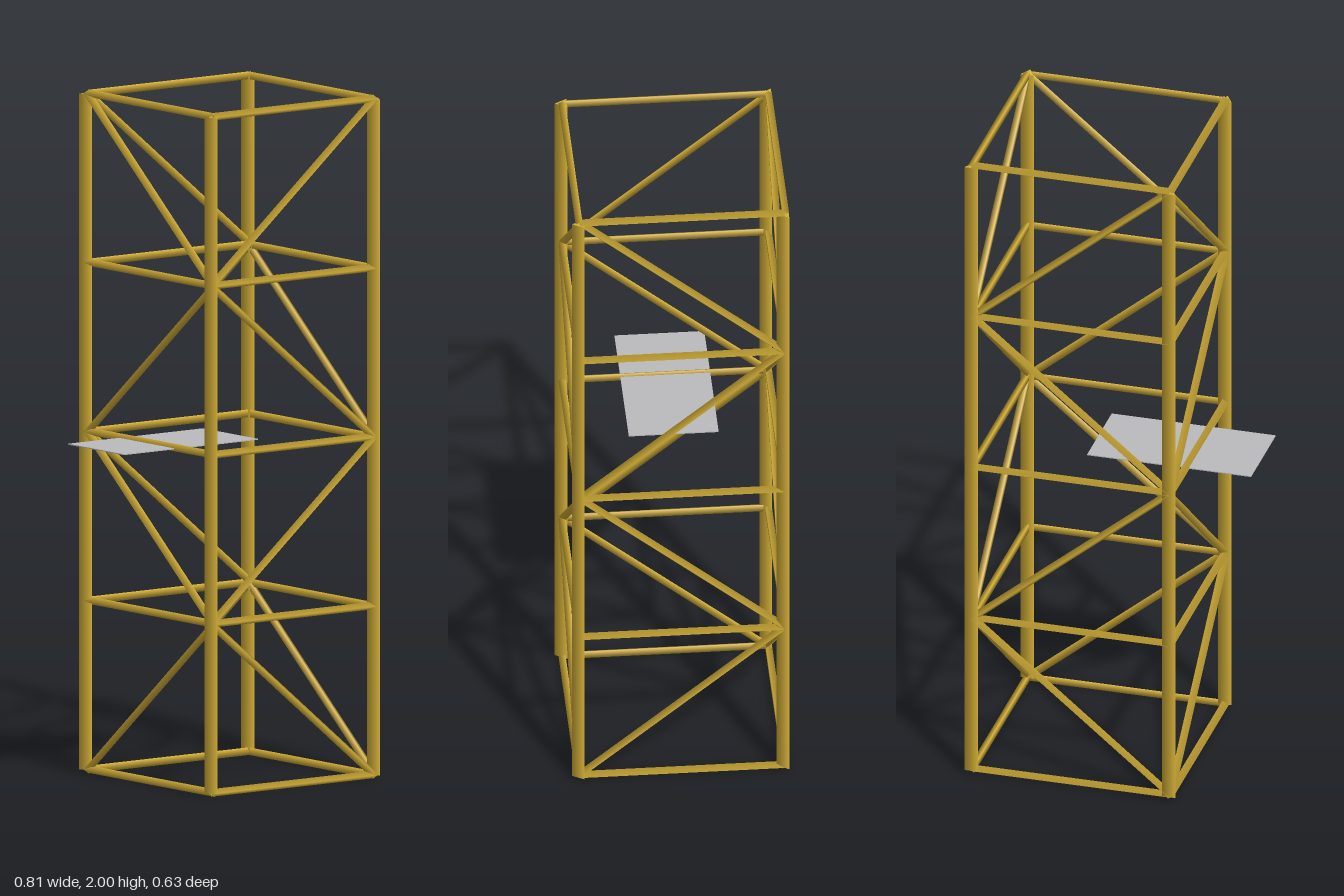
import * as THREE from 'three';

export function createModel() {
  const tower = new THREE.Group();
  tower.name = 'latticeTower';

  const gold = new THREE.MeshStandardMaterial({ color: 0xd4af37 });
  gold.name = 'gold';
  const grey = new THREE.MeshStandardMaterial({ color: 0xbcbcbe });
  grey.name = 'light grey';

  const POST_R = 0.0235, STRUT_R = 0.013;
  const BAYS = 4, Y0 = 0.0115, Y1 = 1.9885;
  const levelY = (i) => Y0 + ((Y1 - Y0) * i) / BAYS;

  // Triangular bar from a to b, with one ridge pointing along "out"
  function bar(name, a, b, out, radius) {
    const dir = b.clone().sub(a);
    const mesh = new THREE.Mesh(new THREE.CylinderGeometry(radius, radius, dir.length(), 3), gold);
    dir.normalize();
    const side = new THREE.Vector3().crossVectors(dir, out);
    mesh.quaternion.setFromRotationMatrix(new THREE.Matrix4().makeBasis(side, dir, out));
    mesh.position.copy(a).add(b).multiplyScalar(0.5);
    mesh.name = name;
    tower.add(mesh);
  }

  // Corners in order round the tower: front right, front left, back left, back right
  const corners = [[-0.209, 0.29], [0.385, 0.29], [0.385, -0.304], [-0.209, -0.304]];
  const outward = [[0, 1], [1, 0], [0, -1], [-1, 0]];
  const node = (c, level) => new THREE.Vector3(corners[c % 4][0], levelY(level), corners[c % 4][1]);

  for (let c = 0; c < 4; c++) {
    const out = new THREE.Vector3(outward[c][0], 0, outward[c][1]);

    // Corner post
    bar('cornerPost', node(c, 0), node(c, BAYS), new THREE.Vector3(0, 0, 1), POST_R);

    // Horizontal rails on this face
    for (let i = 0; i <= BAYS; i++) bar('rail', node(c, i), node(c + 1, i), out, STRUT_R);

    // One diagonal per bay, zigzagging; opposite faces cross each other
    for (let i = 0; i < BAYS; i++) {
      const rising = (i + c) % 2 === 1;
      bar('diagonalBrace', node(c, rising ? i : i + 1), node(c + 1, rising ? i + 1 : i), out, STRUT_R);
    }
  }

  // Thin platform passing through the right face at mid height
  const platform = new THREE.Mesh(new THREE.BoxGeometry(0.493, 0.003, 0.261), grey);
  platform.position.set(-0.16, 1, -0.007);
  platform.name = 'platform';
  tower.add(platform);

  return tower;
}
